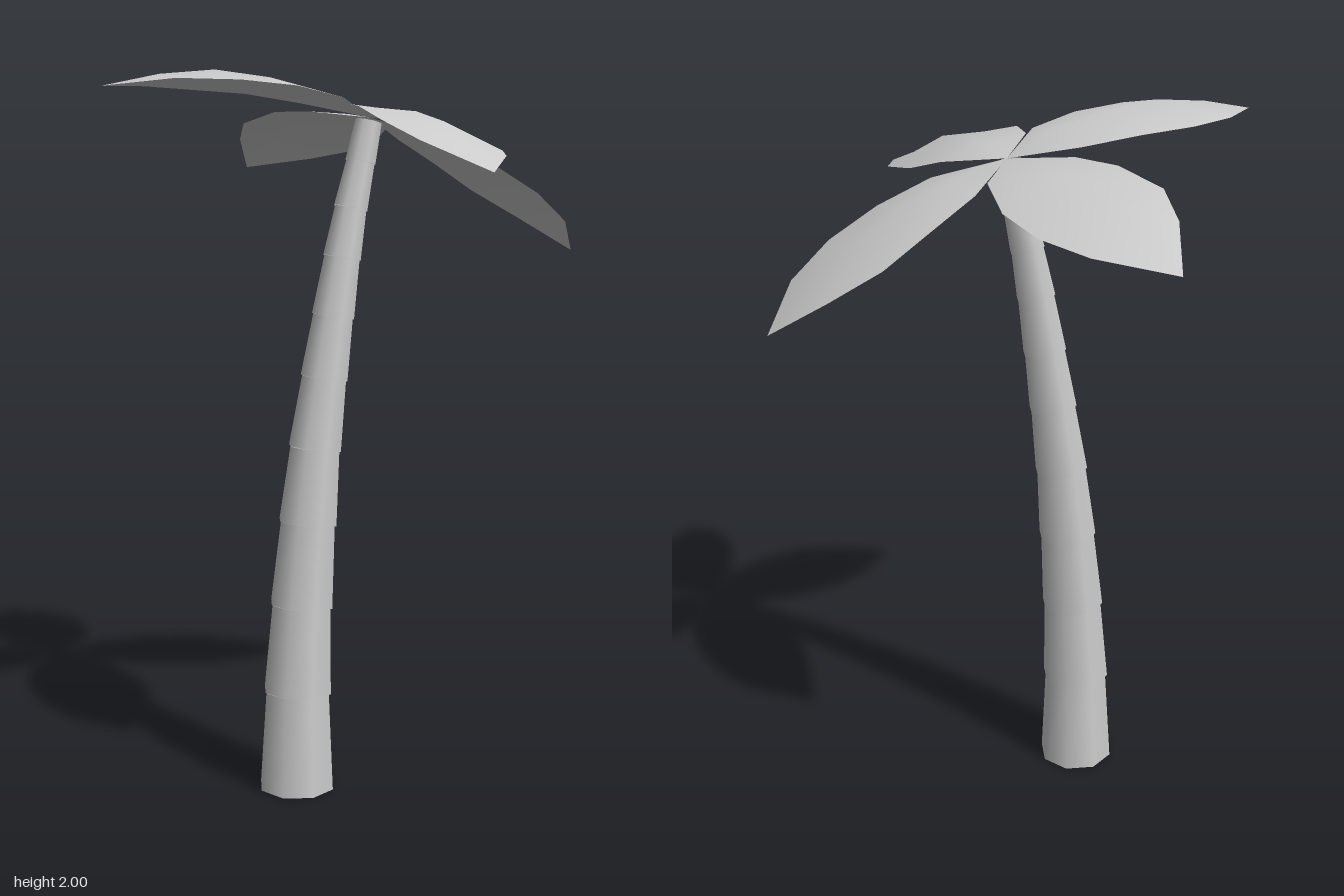
import * as THREE from 'three';

const material = new THREE.MeshStandardMaterial({ color: 0xcccccc, side: THREE.DoubleSide });
const ROOT = [0.04, 1.885, 0]; // where all leaves meet

// Trunk rings: centre x, height, radius at the foot of each segment
const RINGS = [
  [-0.195, 0, 0.11], [-0.19, 0.285, 0.1], [-0.176, 0.535, 0.092], [-0.155, 0.77, 0.085],
  [-0.132, 0.98, 0.077], [-0.103, 1.175, 0.069], [-0.075, 1.345, 0.062], [-0.047, 1.505, 0.055],
  [-0.02, 1.64, 0.049], [0.01, 1.765, 0.044], [0.035, 1.875, 0.041],
];

// Each leaf: rows of [distance out, side a, side b, ridge height, height a, height b], then tip [out, side, height]
const LEAVES = [
  { name: 'leafLeft', place: (u, v) => [u, v], tip: [0.715, 0, 1.51], rows: [
    [0.195, -0.125, 0.135, 1.845, 1.83, 1.825], [0.33, -0.157, 0.185, 1.79, 1.765, 1.755],
    [0.47, -0.17, 0.185, 1.71, 1.685, 1.68], [0.595, -0.11, 0.14, 1.62, 1.605, 1.6]] },
  { name: 'leafRight', place: (u, v) => [-u, v], tip: [0.72, 0, 1.95], rows: [
    [0.1, -0.14, 0.12, 1.95, 1.925, 1.93], [0.25, -0.187, 0.155, 1.985, 1.95, 1.955],
    [0.41, -0.187, 0.165, 2.0, 1.957, 1.965], [0.56, -0.14, 0.105, 1.985, 1.96, 1.968]] },
  { name: 'leafFront', place: (u, v) => [v, u], tip: [0.745, -0.025, 1.735], rows: [
    [0.147, -0.095, 0.16, 1.9, 1.912, 1.86], [0.305, -0.152, 0.18, 1.89, 1.9, 1.815],
    [0.46, -0.167, 0.178, 1.86, 1.86, 1.79], [0.6, -0.14, 0.1, 1.805, 1.81, 1.775]] },
  { name: 'leafBack', place: (u, v) => [v, -u], tip: [0.75, -0.01, 1.755], rows: [
    [0.152, -0.075, 0.175, 1.9, 1.905, 1.865], [0.3, -0.112, 0.21, 1.9, 1.908, 1.825],
    [0.46, -0.142, 0.2, 1.875, 1.88, 1.8], [0.6, -0.095, 0.14, 1.83, 1.838, 1.78]] },
];

// Thin leaf, folded along its ridge: root, three points per row, tip
function makeLeaf({ name, place, tip, rows }) {
  const points = [...ROOT];
  const add = (u, v, y) => {
    const [x, z] = place(u, v);
    points.push(x, y, z);
  };
  for (const [u, a, b, ridge, ya, yb] of rows) {
    add(u, a, ya);
    add(u, (a + b) / 2, ridge);
    add(u, b, yb);
  }
  add(...tip);

  const index = [];
  const last = rows.length * 3 + 1;
  for (let j = 0; j < 2; j++) {
    index.push(0, 1 + j, 2 + j);
    for (let i = 0; i < rows.length - 1; i++) {
      const a = 1 + i * 3 + j;
      index.push(a, a + 3, a + 1, a + 1, a + 3, a + 4);
    }
    index.push(last - 3 + j, last, last - 2 + j);
  }
  // Wind every leaf so that its front looks up
  const [x, z] = place(1, 0), [vx, vz] = place(0, 1);
  if (z * vx - x * vz < 0) index.reverse();

  const geometry = new THREE.BufferGeometry();
  geometry.setAttribute('position', new THREE.Float32BufferAttribute(points, 3));
  geometry.setIndex(index);
  geometry.computeVertexNormals();
  const mesh = new THREE.Mesh(geometry, material);
  mesh.name = name;
  return mesh;
}

// Leaning trunk of stacked, tapered segments with a small lip at each joint
function makeTrunk() {
  const trunk = new THREE.Group();
  trunk.name = 'trunk';
  const up = new THREE.Vector3(0, 1, 0);
  for (let i = 0; i < RINGS.length - 1; i++) {
    const [x0, y0, r0] = RINGS[i];
    const [x1, y1, r1] = RINGS[i + 1];
    const foot = new THREE.Vector3(x0, y0, 0);
    const axis = new THREE.Vector3(x1, y1, 0).sub(foot);
    const length = axis.length();
    const mesh = new THREE.Mesh(new THREE.CylinderGeometry(r1 * 0.94, r0, length, 8, 1, true), material);
    mesh.position.copy(foot).addScaledVector(axis, 0.5);
    mesh.quaternion.setFromUnitVectors(up, axis.normalize());
    mesh.name = `trunkSegment${i + 1}`;
    trunk.add(mesh);
  }
  return trunk;
}

export function createModel() {
  const palm = new THREE.Group();
  palm.name = 'palmTree';
  const crown = new THREE.Group();
  crown.name = 'crown';
  crown.add(...LEAVES.map(makeLeaf));
  palm.add(makeTrunk(), crown);
  return palm;
}
